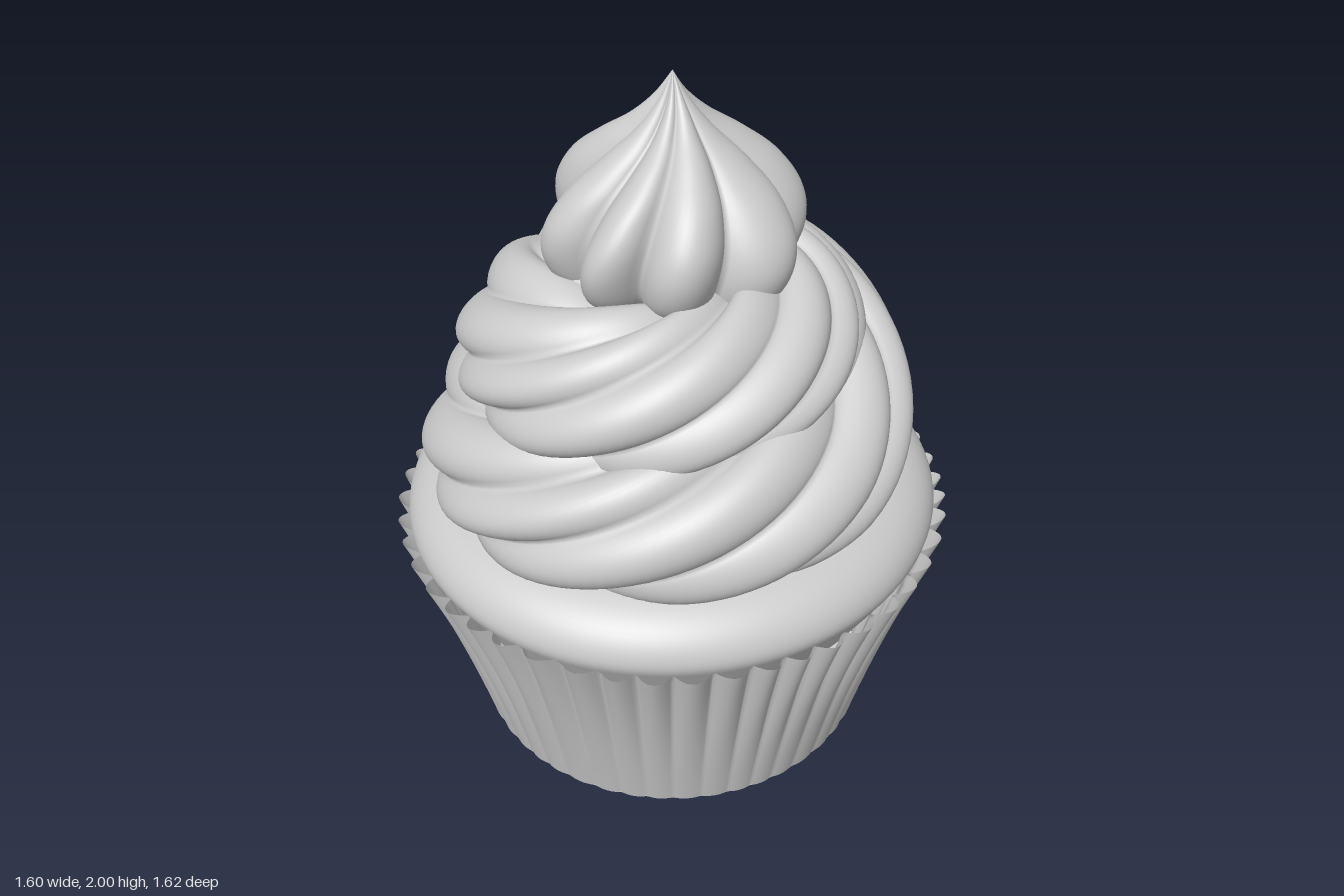
import * as THREE from 'three';
import { mergeVertices } from 'three/addons/utils/BufferGeometryUtils.js';

const TAU = Math.PI * 2;

// Smooth closed-seam surface from a rule f(u, v) -> [x, y, z]
function surface(f, nu, nv) {
  const pos = [], idx = [];
  for (let i = 0; i <= nu; i++)
    for (let j = 0; j <= nv; j++) pos.push(...f(i / nu, j / nv));
  for (let i = 0; i < nu; i++)
    for (let j = 0; j < nv; j++) {
      const a = i * (nv + 1) + j, b = a + nv + 1;
      idx.push(a, b, b + 1, a, b + 1, a + 1);
    }
  let g = new THREE.BufferGeometry();
  g.setAttribute('position', new THREE.Float32BufferAttribute(pos, 3));
  g.setIndex(idx);
  g = mergeVertices(g, 1e-5);
  g.computeVertexNormals();
  return g;
}

// Point at angle a around the y axis (a = 0 is the front)
const polar = (r, a, y) => [r * Math.sin(a), y, r * Math.cos(a)];

// Rounded lobes with sharp grooves, 0 in the groove and 1 on the crest
const lobe = (n, a) => Math.pow(Math.abs(Math.cos(n * a / 2)), 0.8);

const curve = pts => new THREE.CatmullRomCurve3(pts.map(p => new THREE.Vector3(p[0], p[1], p[2] || 0)));

export function createModel() {
  const group = new THREE.Group();
  const mat = new THREE.MeshStandardMaterial({ color: 0xcccccc, side: THREE.DoubleSide });
  const add = (name, geo) => {
    const m = new THREE.Mesh(geo, mat);
    m.name = name;
    group.add(m);
    return m;
  };

  // Pleated paper cup with a scalloped rim
  const pleats = 48;
  add('paperCup', surface((u, v) => {
    const a = u * TAU;
    const wobble = 0.5 * Math.sin(5 * a + 1) + 0.4 * Math.sin(11 * a);
    const wave = 2 * lobe(pleats, a + wobble / pleats) - 1;
    const amp = 0.003 + 0.024 * Math.pow(v, 1.7);
    const r = 0.595 + 0.162 * v + 0.02 * Math.pow(v, 3) + amp * wave;
    const rim = 0.682 + 0.008 * wave + 0.005 * Math.sin(7 * a);
    const oval = 1 - 0.006 * Math.cos(2 * a + Math.PI) * v;
    return polar(r * oval, a, v * rim);
  }, pleats * 12, 16));
  const base = add('cupBase', new THREE.CircleGeometry(0.595, 96));
  base.rotation.x = Math.PI / 2;
  base.position.y = 0.003;

  // Domed cake top swelling over the cup
  const dome = curve([[0.66, 0.5], [0.74, 0.64], [0.768, 0.7], [0.755, 0.755], [0.71, 0.805], [0.63, 0.84], [0.5, 0.855], [0, 0.87]]);
  add('cake', surface((u, v) => {
    const p = dome.getPoint(v);
    const r = Math.max(p.x, 0) * (1 - 0.012 * Math.cos(2 * u * TAU + Math.PI));
    return polar(r, u * TAU, p.y);
  }, 96, 28));

  // Core that fills the middle of the swirl
  const core = [[0.5, 0.83], [0.5, 1.0], [0.4, 1.2], [0.27, 1.4], [0, 1.6]];
  add('frostingCore', new THREE.LatheGeometry(core.map(p => new THREE.Vector2(...p)), 48));

  // Piped rope: keys of [path radius, height, rope radius], a quarter turn apart, from the right side
  const keys = [
    [0.42, 0.96, 0.16], [0.5, 0.97, 0.195], [0.47, 0.98, 0.2], [0.51, 1.0, 0.21], [0.475, 1.04, 0.215],
    [0.4, 1.25, 0.205], [0.38, 1.27, 0.19], [0.405, 1.29, 0.19], [0.355, 1.34, 0.18],
    [0.3, 1.37, 0.165], [0.25, 1.37, 0.14], [0.24, 1.42, 0.11],
  ];
  const rope = curve(keys);
  const turns = (keys.length - 1) / 4;
  add('frostingSwirl', surface((u, v) => {
    const p = rope.getPoint(u);
    const a = -1.5 * Math.PI + u * turns * TAU;
    const phi = v * TAU + 1.55 * a;                  // ridges twist upward along the rope
    const ends = Math.sqrt(Math.min(1, u / 0.03, (1 - u) / 0.03)); // rounded ends
    const uneven = v * TAU + 0.12 * Math.sin(2 * v * TAU);
    const r = p.z * ends * (0.79 + 0.25 * lobe(6, uneven));
    const up = r * Math.sin(phi);
    // the rope leans inward towards its top, more so higher up
    const lean = (0.15 + 0.25 * u) * up;
    return polar(p.x + r * Math.cos(phi) - lean, a, Math.max(p.y + up, 0.825));
  }, 320, 108));

  // Pointed star dollop on top
  const tip = curve([[0, 1.4], [0.2, 1.41], [0.31, 1.46], [0.35, 1.54], [0.345, 1.62], [0.29, 1.71], [0.2, 1.79], [0.11, 1.86], [0.045, 1.93], [0, 2.0]]);
  add('frostingTip', surface((u, v) => {
    const p = tip.getPoint(v);
    const a = u * TAU;
    const lobes = lobe(8, a + 0.1 * Math.sin(2 * a));
    const r = Math.max(p.x, 0) * (0.75 + 0.27 * lobes) * (1 - 0.03 * Math.cos(a));
    const droop = 0.02 * Math.sin(3 * a) * Math.sin(Math.PI * v);
    return polar(r, a + 0.75 * v * v, p.y + droop);
  }, 144, 48));

  return group;
}
